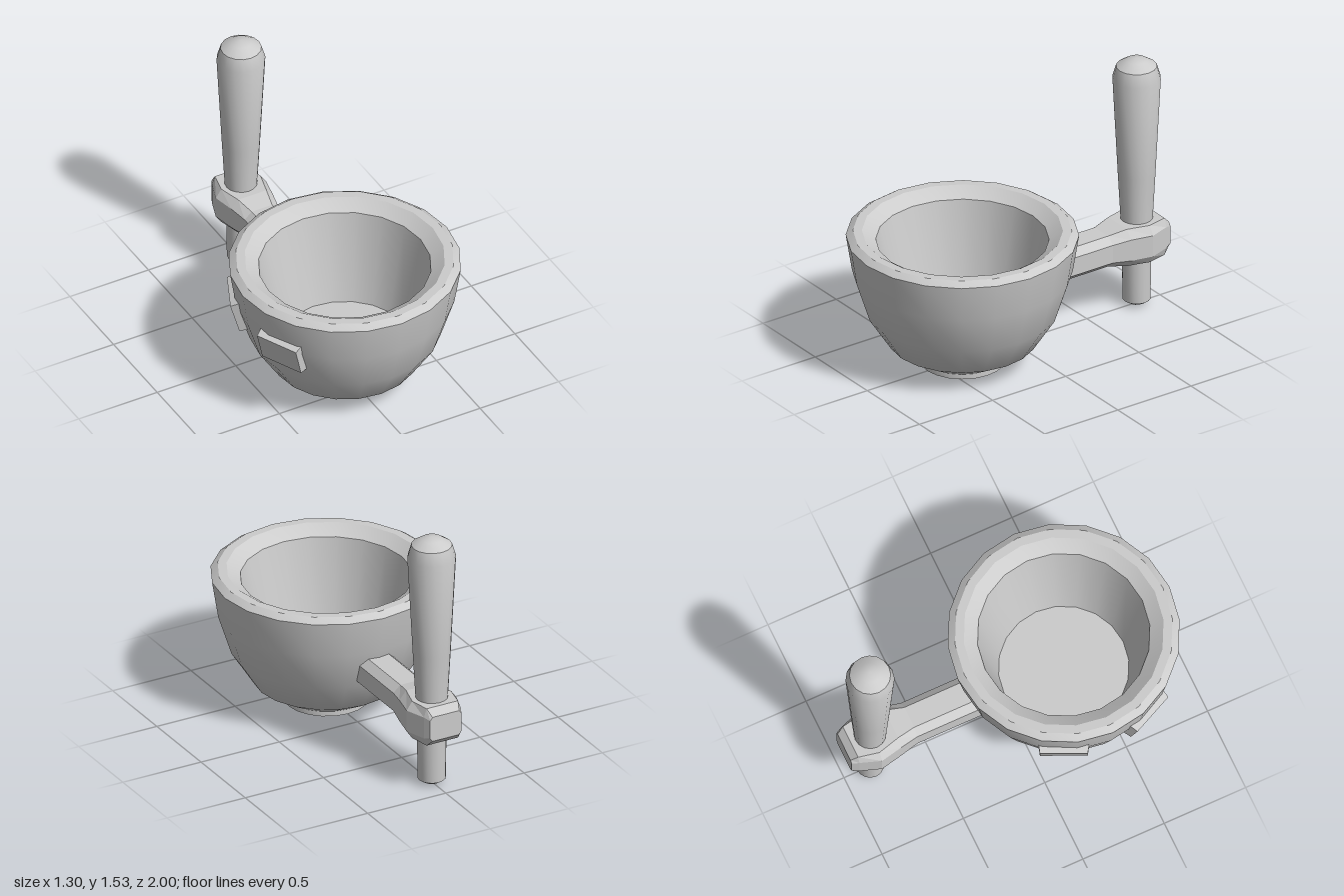
import * as THREE from 'three';
import { toCreasedNormals } from 'three/addons/utils/BufferGeometryUtils.js';

const material = new THREE.MeshStandardMaterial({ color: 0xcccccc });
const flatMaterial = new THREE.MeshStandardMaterial({ color: 0xcccccc, flatShading: true });

// Smooth turned part with sharp rims
function turned(name, profile, sides, z) {
  const points = profile.map(([r, y]) => new THREE.Vector2(r, y));
  const geometry = toCreasedNormals(new THREE.LatheGeometry(points, sides), 0.55);
  const mesh = new THREE.Mesh(geometry, material);
  mesh.name = name;
  mesh.position.z = z;
  return mesh;
}

// Chamfered bar lofted through octagonal sections
function createArm() {
  // z, half width, half width of the flat top, bottom, top, chamfer height
  const sections = [
    [-0.14, 0.11, 0.065, 0.325, 0.515, 0.04],
    [-0.6, 0.11, 0.065, 0.325, 0.515, 0.04],
    [-0.71, 0.133, 0.09, 0.305, 0.535, 0.05],
    [-0.84, 0.16, 0.125, 0.305, 0.535, 0.05],
    [-0.96, 0.118, 0.1, 0.305, 0.535, 0.05],
    [-1.0, 0.1, 0.085, 0.345, 0.495, 0.02],
  ];
  const positions = [];
  const index = [];
  const n = 8;
  for (const [z, w, t, y0, y1, c] of sections) {
    const ring = [[t, y0], [w, y0 + c], [w, y1 - c], [t, y1], [-t, y1], [-w, y1 - c], [-w, y0 + c], [-t, y0]];
    for (const [x, y] of ring) positions.push(x, y, z);
  }
  const last = (sections.length - 1) * n;
  for (let i = 0; i < last; i += n) {
    for (let j = 0; j < n; j++) {
      const a = i + j, b = i + (j + 1) % n;
      index.push(a, a + n, b, b, a + n, b + n);
    }
  }
  for (let j = 1; j < n - 1; j++) {
    index.push(0, j, j + 1, last, last + j + 1, last + j);
  }
  const geometry = new THREE.BufferGeometry();
  geometry.setAttribute('position', new THREE.Float32BufferAttribute(positions, 3));
  geometry.setIndex(index);
  geometry.computeVertexNormals();
  const mesh = new THREE.Mesh(geometry, flatMaterial);
  mesh.name = 'arm';
  return mesh;
}

// Raised pad with a slightly smaller outer face, lying against the bowl wall
function createPad(name, angle) {
  const geometry = new THREE.BoxGeometry(0.29, 0.2, 0.08);
  const p = geometry.attributes.position;
  for (let i = 0; i < p.count; i++) {
    if (p.getZ(i) > 0) p.setXY(i, p.getX(i) * 0.92, p.getY(i) * 0.9);
  }
  const mesh = new THREE.Mesh(geometry, flatMaterial);
  mesh.name = name;
  mesh.rotation.set(THREE.MathUtils.degToRad(16), angle, 0, 'YXZ');
  mesh.position.set(Math.sin(angle) * 0.585, 0.528, 0.35 + Math.cos(angle) * 0.585);
  return mesh;
}

export function createModel() {
  const model = new THREE.Group();
  model.name = 'bowlWithPegHandle';

  // Bowl: foot, outer wall, rim, sloped lip, inner wall and floor
  model.add(turned('bowl', [
    [0, 0], [0.24, 0], [0.24, 0.03], [0.415, 0.13], [0.54, 0.325], [0.615, 0.56], [0.65, 0.78],
    [0.61, 0.808], [0.56, 0.808], [0.483, 0.755], [0.365, 0.22], [0, 0.22],
  ], 20, 0.35));

  // Tapered peg with a domed top
  model.add(turned('peg', [
    [0, 0], [0.045, 0.008], [0.079, 0.03], [0.083, 0.31], [0.091, 0.53], [0.107, 0.82], [0.137, 1.41],
    [0.115, 1.485], [0.06, 1.522], [0, 1.535],
  ], 16, -0.84));

  model.add(createArm());

  // Two pads on the side of the bowl
  for (const [name, degrees] of [['frontPad', -65], ['rearPad', -115]]) {
    model.add(createPad(name, THREE.MathUtils.degToRad(degrees)));
  }
  return model;
}
